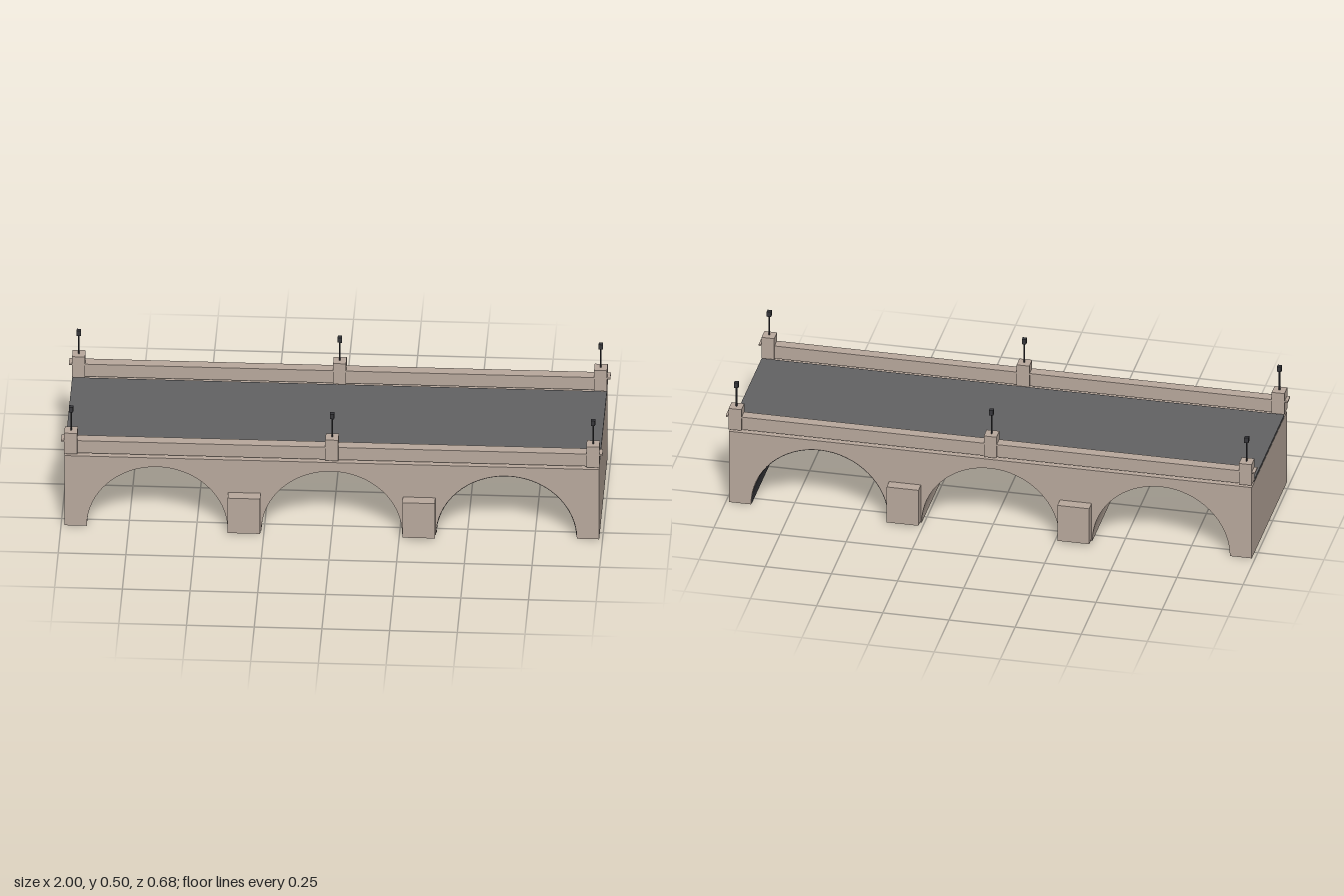
import * as THREE from 'three';

const stone = new THREE.MeshStandardMaterial({ color: 0xb9a99d });
stone.name = 'stone';
const asphalt = new THREE.MeshStandardMaterial({ color: 0x626264 });
asphalt.name = 'asphalt';
const darkMetal = new THREE.MeshStandardMaterial({ color: 0x37373b, side: THREE.DoubleSide });
darkMetal.name = 'dark metal';

const LENGTH = 1.975, HALF = LENGTH / 2, WIDTH = 0.595;
const ARCH_R = 0.26, ARCH_X = 0.645, SEGMENTS = 32;

// Box given by its centre in x and z, and the height of its base
function box(name, material, w, h, d, x, y, z) {
  const mesh = new THREE.Mesh(new THREE.BoxGeometry(w, h, d), material);
  mesh.name = name;
  mesh.position.set(x, y + h / 2, z);
  return mesh;
}

// Side elevation with three semicircular openings, extruded across the width
function archedBody() {
  const shape = new THREE.Shape();
  shape.moveTo(HALF, 0);
  shape.lineTo(HALF, 0.298);
  shape.lineTo(-HALF, 0.298);
  shape.lineTo(-HALF, 0);
  for (const cx of [-ARCH_X, 0, ARCH_X]) {
    for (let i = 0; i <= SEGMENTS; i++) {
      const a = Math.PI * (1 - i / SEGMENTS);
      shape.lineTo(cx + ARCH_R * Math.cos(a), ARCH_R * Math.sin(a));
    }
  }
  const geometry = new THREE.ExtrudeGeometry(shape, { depth: WIDTH, bevelEnabled: false });
  geometry.translate(0, 0, -WIDTH / 2);
  const mesh = new THREE.Mesh(geometry, stone);
  mesh.name = 'archedBody';
  return mesh;
}

// Dark lining inside one arch
function archLining(x) {
  const geometry = new THREE.CylinderGeometry(
    ARCH_R - 0.0015, ARCH_R - 0.0015, WIDTH - 0.001, SEGMENTS, 1, true, Math.PI / 2, Math.PI
  ).rotateX(Math.PI / 2).toNonIndexed();
  geometry.computeVertexNormals();
  const mesh = new THREE.Mesh(geometry, darkMetal);
  mesh.name = 'archLining';
  mesh.position.x = x;
  return mesh;
}

// Parapet post carrying a small lamp
function lampPost(x, z) {
  const group = new THREE.Group();
  group.name = 'lampPost';
  group.position.set(x, 0, z);
  const pole = new THREE.Mesh(new THREE.CylinderGeometry(0.003, 0.003, 0.082, 8), darkMetal);
  pole.name = 'lampPole';
  pole.position.y = 0.437;
  group.add(
    box('parapetPost', stone, 0.048, 0.088, 0.049, 0, 0.309, 0),
    pole,
    box('lampHead', darkMetal, 0.016, 0.021, 0.016, 0, 0.477, 0)
  );
  return group;
}

export function createModel() {
  const model = new THREE.Group();
  model.name = 'archBridge';
  model.add(archedBody(), archLining(ARCH_X));
  model.add(box('roadDeck', asphalt, LENGTH, 0.009, 0.506, 0, 0.3, 0));

  for (const side of [1, -1]) {
    const z = side * 0.278;
    // Parapet wall and its slightly longer coping
    model.add(box('parapetWall', stone, LENGTH, 0.05, 0.032, 0, 0.309, z));
    model.add(box('parapetCoping', stone, 2, 0.006, 0.041, 0, 0.358, z));
    for (const x of [-0.964, 0, 0.964]) model.add(lampPost(x, z));
    // Buttresses on the two inner piers
    for (const x of [-0.3225, 0.3225]) {
      model.add(box('pierButtress', stone, 0.12, 0.149, 0.06, x, 0.01, side * 0.31));
    }
  }
  return model;
}
